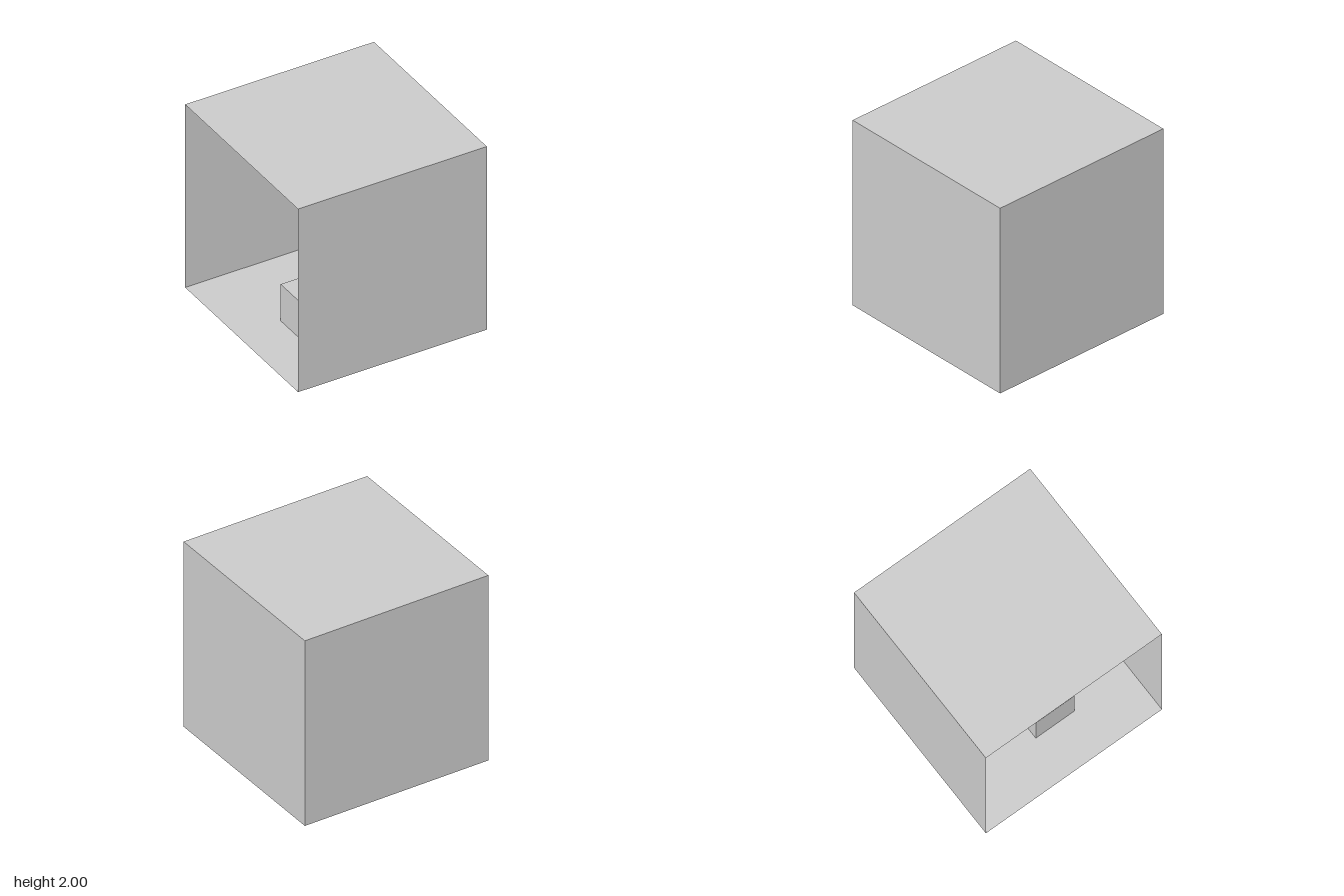
import * as THREE from 'three';

const material = new THREE.MeshStandardMaterial({ color: 0xcccccc, side: THREE.DoubleSide });

export function createModel() {
  const group = new THREE.Group();

  // Thin room shell: five square panels, left open on the -x side
  const panels = [
    ['floor', [0, 0, 0], [Math.PI / 2, 0, 0]],
    ['ceiling', [0, 2, 0], [-Math.PI / 2, 0, 0]],
    ['frontWall', [0, 1, 1], [0, 0, 0]],
    ['backWall', [0, 1, -1], [0, Math.PI, 0]],
    ['sideWall', [1, 1, 0], [0, Math.PI / 2, 0]],
  ];
  const panel = new THREE.PlaneGeometry(2, 2);
  for (const [name, position, rotation] of panels) {
    const mesh = new THREE.Mesh(panel, material);
    mesh.name = name;
    mesh.position.set(...position);
    mesh.rotation.set(...rotation);
    group.add(mesh);
  }

  // Small block standing on the floor inside
  const block = new THREE.Mesh(new THREE.BoxGeometry(0.46, 0.4, 0.44), material);
  block.name = 'innerBlock';
  block.position.set(-0.305, 0.2, 0.135);
  group.add(block);

  return group;
}
